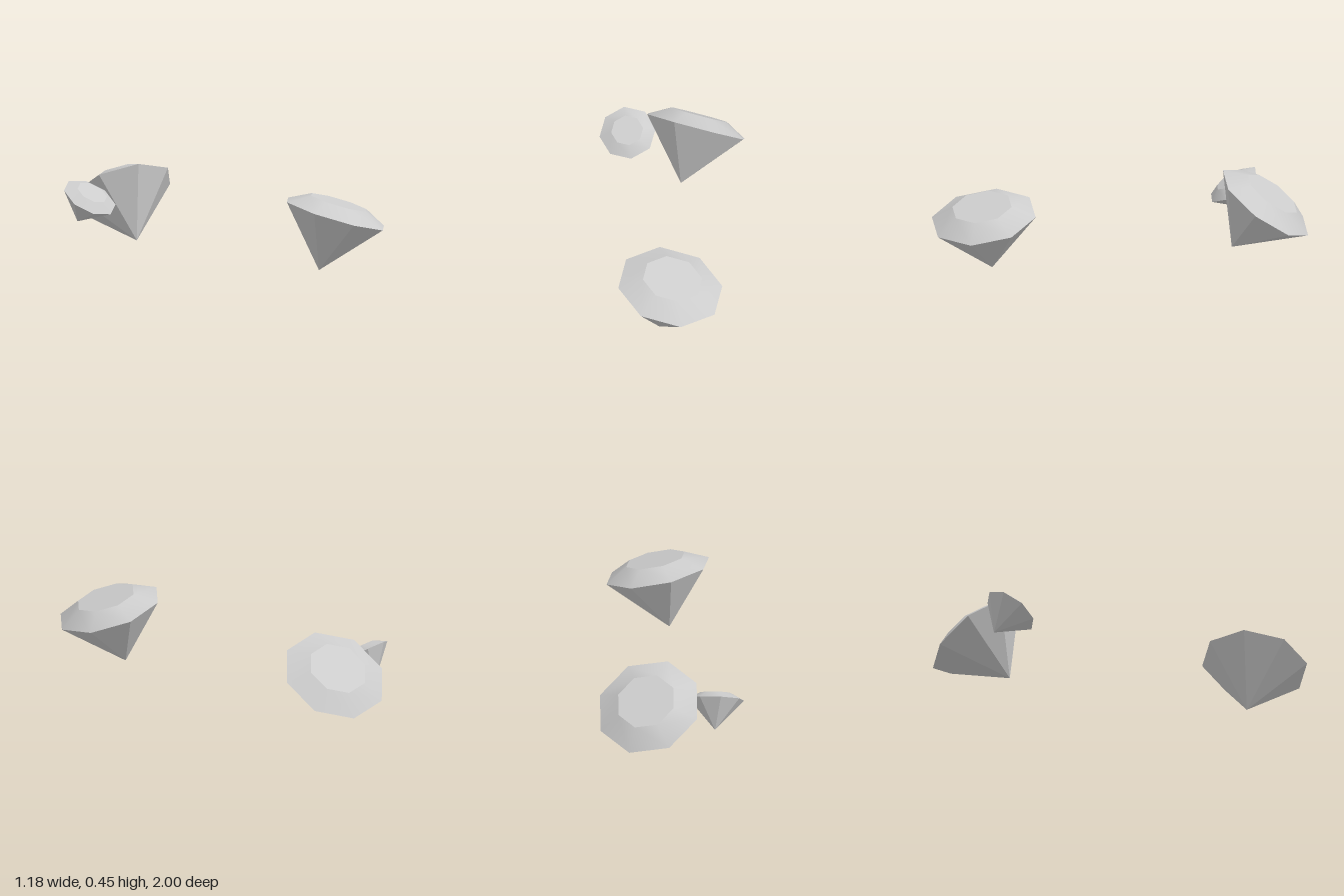
import * as THREE from 'three';
import { toCreasedNormals } from 'three/addons/utils/BufferGeometryUtils.js';

// Cut stone of unit girdle radius: pointed pavilion, bevelled crown, flat table
function gemGeometry() {
  const profile = [[0, -1.09], [1, 0], [0.57, 0.225], [0, 0.225]].map(([x, y]) => new THREE.Vector2(x, y));
  // Crown stays softly shaded, pavilion and table edges stay sharp
  return toCreasedNormals(new THREE.LatheGeometry(profile, 8), 0.45);
}

export function createModel() {
  const group = new THREE.Group();
  const stone = new THREE.MeshStandardMaterial({ color: 0xcccccc });
  stone.name = 'pale grey stone';
  const geometry = gemGeometry();

  // centre of girdle, axis from tip to table, direction of one girdle corner
  const gems = [
    { name: 'frontGem', radius: 0.29, centre: [0.315, 0.305, 0.715], axis: [0.08, 0.305, 0.04], corner: [-0.155, 0.071, -0.235] },
    { name: 'backGem', radius: 0.288, centre: [-0.132, 0.285, -0.768], axis: [0.013, 0.255, -0.183], corner: [0.032, -0.165, -0.232] },
    { name: 'smallGem', radius: 0.152, centre: [-0.448, 0.288, -0.572], axis: [0.172, 1, 0.636], corner: [-0.143, 0.045, -0.032] },
  ];

  for (const { name, radius, centre, axis, corner } of gems) {
    const y = new THREE.Vector3(...axis).normalize();
    const x = new THREE.Vector3().crossVectors(y, new THREE.Vector3(...corner)).normalize();
    const z = new THREE.Vector3().crossVectors(x, y);
    const gem = new THREE.Mesh(geometry, stone);
    gem.name = name;
    gem.quaternion.setFromRotationMatrix(new THREE.Matrix4().makeBasis(x, y, z));
    gem.position.set(...centre);
    gem.scale.setScalar(radius);
    group.add(gem);
  }
  return group;
}
